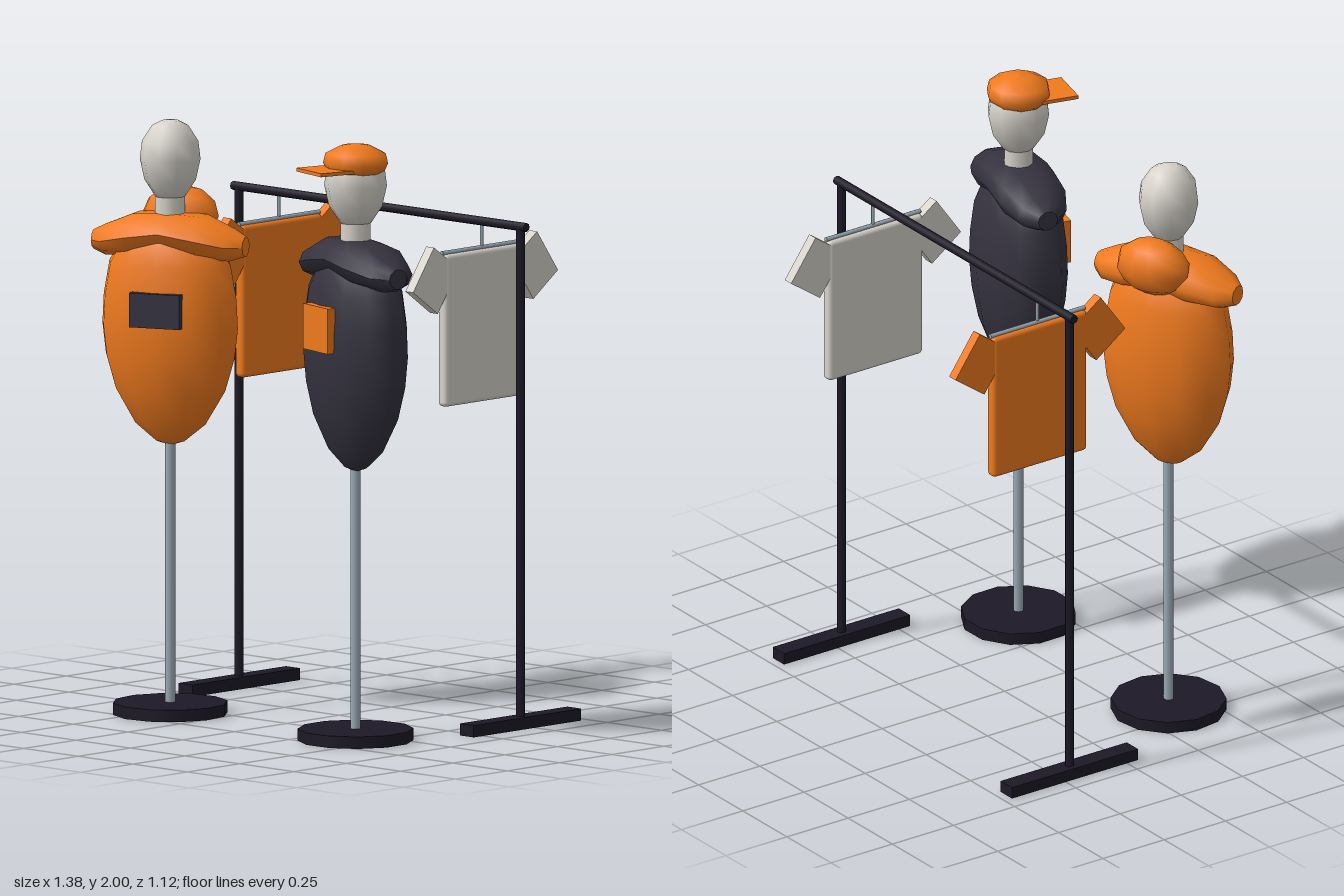
import * as THREE from 'three';
import { RoundedBoxGeometry } from 'three/addons/geometries/RoundedBoxGeometry.js';

const mat = (color) => new THREE.MeshStandardMaterial({ color, roughness: 0.8 });
const ORANGE = mat(0xf07a1e), DARK = mat(0x35323f), BLACK = mat(0x1d1926);
const WHITE = mat(0xd8d4cc), STEEL = mat(0x9aaab5);

function add(parent, name, geometry, material, x = 0, y = 0, z = 0) {
  const mesh = new THREE.Mesh(geometry, material);
  mesh.name = name;
  mesh.position.set(x, y, z);
  parent.add(mesh);
  return mesh;
}

const lathe = (points, segments) =>
  new THREE.LatheGeometry(points.map(([r, y]) => new THREE.Vector2(r, y)), segments);

const ellipsoid = (rx, ry, rz, w = 10, h = 6) => new THREE.SphereGeometry(1, w, h).scale(rx, ry, rz);

// Shoulder yoke: sections from the neck outward as [x, middle height, half height, half depth]
function yokeGeometry() {
  const sections = [[0, 1.622, 0.062, 0.125], [0.12, 1.604, 0.074, 0.12], [0.22, 1.582, 0.054, 0.085], [0.268, 1.578, 0.034, 0.035]];
  const g = new THREE.CylinderGeometry(1, 1, 1, 10, 6).rotateZ(-Math.PI / 2);
  const p = g.attributes.position;
  for (let i = 0; i < p.count; i++) {
    const u = p.getX(i);
    const [x, mid, h, d] = sections[Math.round(Math.abs(u) * 6)];
    p.setXYZ(i, Math.sign(u) * x, mid + p.getY(i) * h, p.getZ(i) * d);
  }
  g.computeVertexNormals();
  return g;
}

function mannequin(name, x, turn, cloth, patchCloth, patchW, patchH, patchY) {
  const g = new THREE.Group();
  g.name = name;
  g.position.set(x, 0, 0.36);
  g.rotation.y = turn;

  // Stand
  add(g, 'standBase', new THREE.CylinderGeometry(0.192, 0.192, 0.04, 12), BLACK, 0, 0.02);
  add(g, 'standPole', new THREE.CylinderGeometry(0.017, 0.017, 0.9, 10), STEEL, 0, 0.48);

  // Clothed torso
  const profile = [[0, 0.9], [0.05, 0.915], [0.125, 0.975], [0.195, 1.09], [0.228, 1.2], [0.24, 1.3],
    [0.235, 1.4], [0.215, 1.51], [0.17, 1.59], [0.1, 1.64], [0, 1.66]];
  add(g, 'torso', lathe(profile, 12), cloth).scale.z = 0.62;
  add(g, 'shoulders', yokeGeometry(), cloth);
  add(g, 'chestPatch', new THREE.BoxGeometry(patchW, patchH, 0.03), patchCloth, 0.003, patchY, 0.144);

  // Neck and head
  add(g, 'neck', new THREE.CylinderGeometry(0.05, 0.05, 0.14, 10), WHITE, 0, 1.68);
  const head = [[0, 1.72], [0.05, 1.735], [0.085, 1.79], [0.1, 1.86], [0.093, 1.92], [0.06, 1.972], [0.028, 1.988], [0, 1.99]];
  add(g, 'head', lathe(head, 10), WHITE).scale.z = 1.06;
  return g;
}

// Shirt hanging across the rail, seen edge-on from the front
function shirt(name, x, cloth) {
  const g = new THREE.Group();
  g.name = name;
  g.position.set(x, 0, -0.213);
  add(g, 'shirtBody', new RoundedBoxGeometry(0.042, 0.51, 0.385, 2, 0.015), cloth, 0, 1.333);
  for (const s of [-1, 1]) {
    add(g, 'sleeve', new THREE.BoxGeometry(0.036, 0.172, 0.145), cloth, 0, 1.508, s * 0.238).rotation.x = -s * 0.62;
  }
  // Hanger
  add(g, 'hangerBar', new THREE.CylinderGeometry(0.008, 0.008, 0.385, 8).rotateX(Math.PI / 2), STEEL, 0, 1.592);
  add(g, 'hangerHook', new THREE.CylinderGeometry(0.006, 0.006, 0.1, 8), STEEL, 0, 1.635);
  return g;
}

export function createModel() {
  const model = new THREE.Group();
  model.name = 'clothingDisplay';

  // Hooded mannequin
  const hooded = mannequin('hoodedMannequin', -0.43, 0.4, ORANGE, DARK, 0.178, 0.115, 1.37);
  add(hooded, 'hood', ellipsoid(0.135, 0.1, 0.09), ORANGE, 0, 1.66, -0.098).rotation.x = -0.25;
  model.add(hooded);

  // Mannequin with cap
  const capped = mannequin('cappedMannequin', 0.42, -0.25, DARK, ORANGE, 0.153, 0.152, 1.392);
  const crown = [[0, 1.9], [0.095, 1.905], [0.108, 1.935], [0.1, 1.968], [0.05, 1.993], [0, 2]];
  add(capped, 'capCrown', lathe(crown, 10), ORANGE);
  add(capped, 'capBrim', new THREE.BoxGeometry(0.155, 0.012, 0.13), ORANGE, 0, 1.917, 0.118);
  model.add(capped);

  // Garment rack
  const rack = new THREE.Group();
  rack.name = 'garmentRack';
  rack.position.set(-0.017, 0, -0.213);
  for (const s of [-1, 1]) {
    add(rack, 'rackFoot', new THREE.BoxGeometry(0.064, 0.04, 0.515), BLACK, s * 0.645, 0.02);
    add(rack, 'rackPost', new THREE.CylinderGeometry(0.015, 0.015, 1.64, 8), BLACK, s * 0.645, 0.86);
  }
  add(rack, 'rackRail', new THREE.CylinderGeometry(0.015, 0.015, 1.345, 8).rotateZ(Math.PI / 2), BLACK, 0, 1.68);
  model.add(rack);

  model.add(shirt('orangeShirt', -0.48, ORANGE), shirt('whiteShirt', 0.45, WHITE));
  return model;
}
